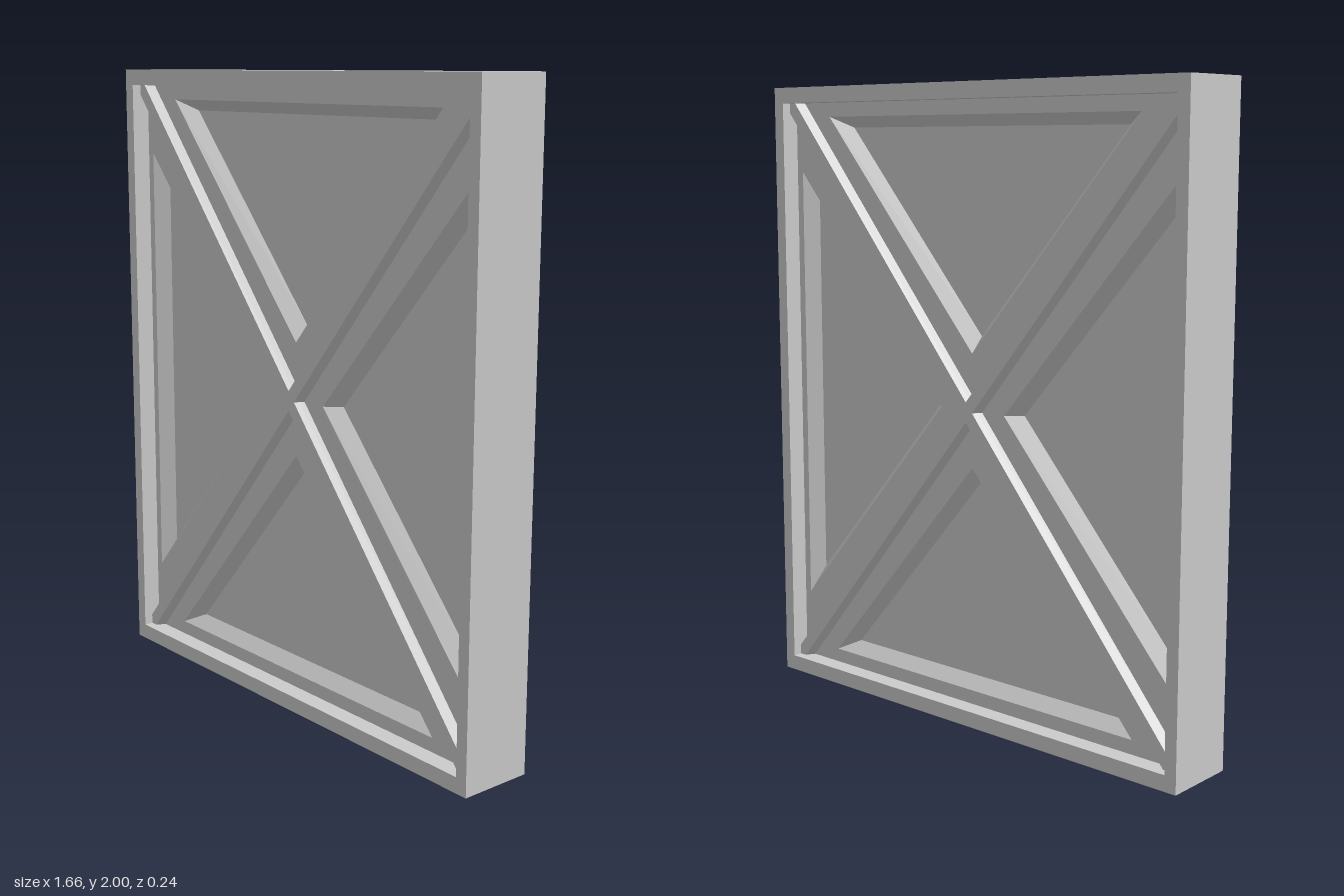
import * as THREE from 'three';

const W = 0.83, H = 1, D = 0.12;      // half sizes of the whole block
const IW = 0.79, IH = 0.95;           // half sizes of the frame opening
const PANEL = 0.06, FLOOR = 0.015, RIDGE = 0.09; // heights of the layers

const rect = (w, h) => [[-w, -h], [w, -h], [w, h], [-w, h]];
const toV2 = (pts) => pts.map(([x, y]) => new THREE.Vector2(x, y));

// Triangular recesses, counter-clockwise: [outer rim, inner floor]
const topTri = [[[-0.63, 0.905], [0, 0.18], [0.63, 0.905]], [[-0.56, 0.87], [0, 0.23], [0.56, 0.87]]];
const rightTri = [[[0.765, -0.725], [0.765, 0.725], [0.13, 0]], [[0.733, -0.635], [0.733, 0.635], [0.175, 0]]];
const turn = (tri) => tri.map((ring) => ring.map(([x, y]) => [-x, -y]));
const recesses = [topTri, rightTri, turn(topTri), turn(rightTri)];

// Sloped sides and flat floor of one recess
function recessGeometry([outer, inner]) {
  const pos = [];
  for (let i = 0; i < 3; i++) {
    const j = (i + 1) % 3;
    const a = [...outer[i], PANEL], b = [...outer[j], PANEL];
    const c = [...inner[j], FLOOR], d = [...inner[i], FLOOR];
    pos.push(...a, ...b, ...c, ...a, ...c, ...d);
  }
  inner.forEach((p) => pos.push(...p, FLOOR));
  const g = new THREE.BufferGeometry();
  g.setAttribute('position', new THREE.Float32BufferAttribute(pos, 3));
  g.computeVertexNormals();
  return g;
}

export function createModel() {
  const model = new THREE.Group();
  model.name = 'crossBracedPanel';
  const body = new THREE.Group();
  body.position.y = H;
  model.add(body);
  const mat = new THREE.MeshStandardMaterial({ color: 0xcccccc, flatShading: true });
  const add = (parent, name, geometry) => {
    const mesh = new THREE.Mesh(geometry, mat);
    mesh.name = name;
    parent.add(mesh);
    return mesh;
  };

  // Outer frame
  const frame = new THREE.Shape(toV2(rect(W, H)));
  frame.holes.push(new THREE.Path(toV2(rect(IW, IH))));
  add(body, 'frame', new THREE.ExtrudeGeometry(frame, { depth: 2 * D, bevelEnabled: false }).translate(0, 0, -D));

  // Sunken panel with four recesses, the same on front and back
  const panel = new THREE.Shape(toV2(rect(IW, IH)));
  recesses.forEach(([outer]) => panel.holes.push(new THREE.Path(toV2(outer))));
  for (const side of ['front', 'back']) {
    const face = new THREE.Group();
    face.name = side + 'Face';
    if (side === 'back') face.rotation.y = Math.PI;
    add(face, side + 'Panel', new THREE.ShapeGeometry(panel).translate(0, 0, PANEL));
    recesses.forEach((r) => add(face, side + 'Recess', recessGeometry(r)));
    body.add(face);
  }

  // Bevelled diagonal braces, raised on both sides
  const b = 0.032, t = 0.02, length = 2 * Math.hypot(IW, IH);
  const section = new THREE.Shape(toV2([
    [-t, -RIDGE], [t, -RIDGE], [b, -PANEL], [b, PANEL], [t, RIDGE], [-t, RIDGE], [-b, PANEL], [-b, -PANEL],
  ]));
  for (const s of [-1, 1]) {
    const g = new THREE.ExtrudeGeometry(section, { depth: length, bevelEnabled: false });
    g.translate(0, 0, -length / 2).rotateX(Math.PI / 2);
    add(body, 'diagonalBrace', g).rotation.z = s * Math.atan2(IW, IH);
  }
  return model;
}
